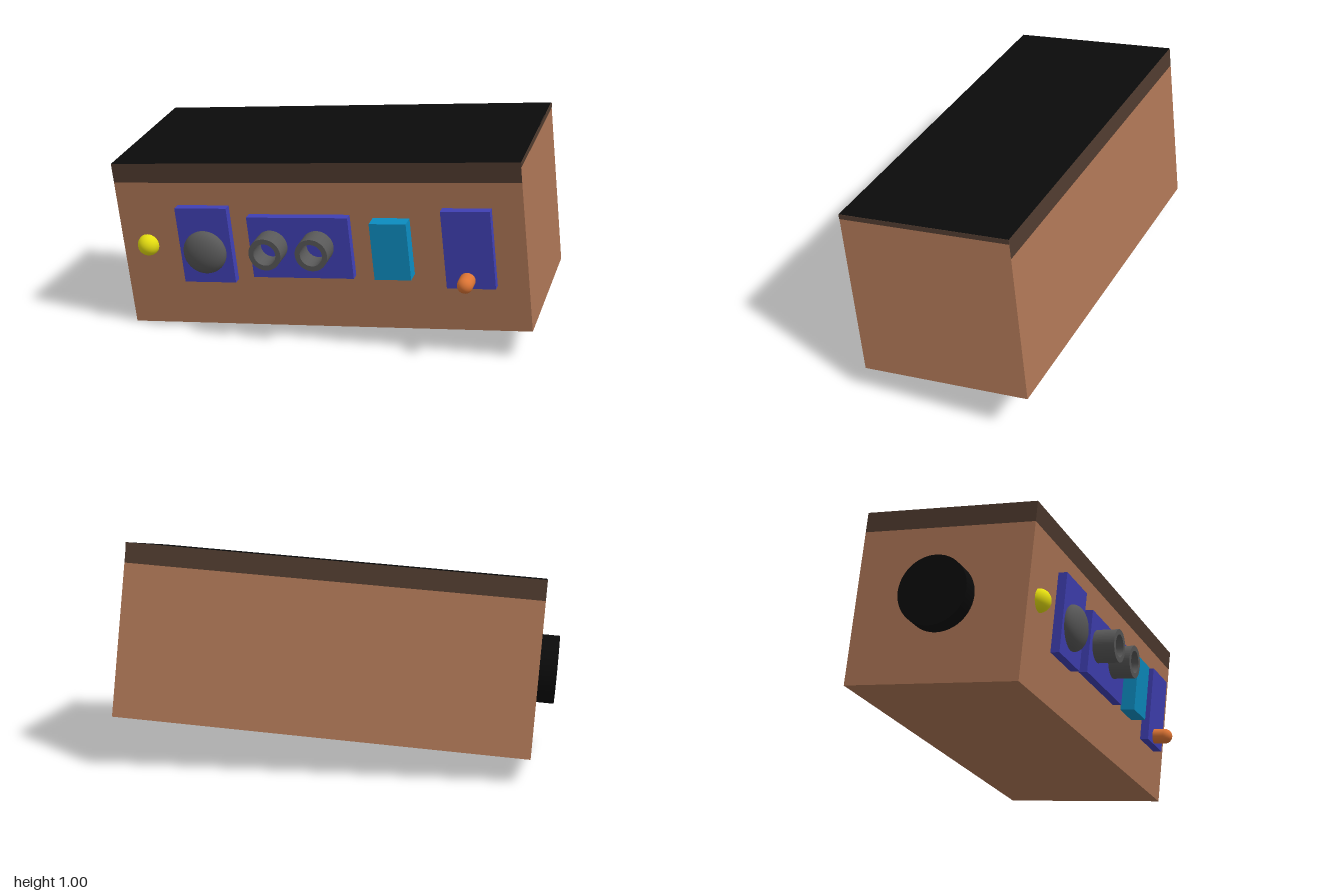
import * as THREE from 'three';

const mat = (name, color, side = THREE.FrontSide) => {
  const m = new THREE.MeshStandardMaterial({ color, side });
  m.name = name;
  return m;
};

export function createModel() {
  const brown = mat('brown', 0xac7555);
  const darkBrown = mat('dark brown', 0x4e3a2e);
  const black = mat('black', 0x0b0b0b);
  const blue = mat('blue', 0x4040b4);
  const teal = mat('teal', 0x0c8cc0);
  const grey = mat('dark grey', 0x585858);
  const yellow = mat('yellow', 0xe6df10);
  const orange = mat('orange', 0xdc7434);

  const model = new THREE.Group();
  model.name = 'controlBox';
  // the whole box sits tilted and turned
  model.position.set(0, 0.503, 0);
  model.rotation.set(0.155, 0.479, 0);

  const add = (name, geometry, material, x, y, z) => {
    const mesh = new THREE.Mesh(geometry, material);
    mesh.name = name;
    mesh.position.set(x, y, z);
    model.add(mesh);
    return mesh;
  };

  const W = 1.848, H = 0.774, D = 0.777, band = 0.09;
  const front = D / 2, plateT = 0.04, plateZ = front + plateT;

  // body and lid; the lid is black on top with dark sides
  add('body', new THREE.BoxGeometry(W, H - band, D), brown, 0, -band / 2, 0);
  add('lid', new THREE.BoxGeometry(W, band, D),
    [brown, darkBrown, black, darkBrown, darkBrown, darkBrown], 0, (H - band) / 2, 0);
  add('lidEdge', new THREE.BoxGeometry(0.003, 0.022, D), darkBrown, W / 2, H / 2 - 0.011, 0);

  // raised panels on the front: name, material, x, y, width, height, thickness
  for (const [name, m, x, y, w, h, t] of [
    ['domePanel', blue, -0.512, 0.013, 0.243, 0.355, plateT],
    ['socketPanel', blue, -0.07, 0.007, 0.462, 0.285, plateT],
    ['tealBlock', teal, 0.345, 0.005, 0.163, 0.26, 0.068],
    ['switchPanel', blue, 0.68, 0.005, 0.214, 0.355, plateT],
  ]) add(name, new THREE.BoxGeometry(w, h, t), m, x, y, front + t / 2);

  // yellow lamp and flattened grey dome
  add('yellowLamp', new THREE.SphereGeometry(0.05, 32, 20), yellow, -0.803, -0.002, front);
  add('dome', new THREE.SphereGeometry(0.1, 40, 24), grey, -0.515, -0.016, plateZ + 0.006)
    .scale.z = 0.55;

  // two hollow sockets
  const ring = new THREE.Shape().absarc(0, 0, 0.073, 0, Math.PI * 2);
  ring.holes.push(new THREE.Path().absarc(0, 0, 0.05, 0, Math.PI * 2, true));
  const socket = new THREE.ExtrudeGeometry(ring, { depth: 0.1, bevelEnabled: false, curveSegments: 32 });
  for (const x of [-0.199, 0.013]) add('socket', socket, grey, x, 0.016, plateZ);

  // orange toggle
  const toggle = new THREE.CapsuleGeometry(0.035, 0.06, 8, 24).rotateX(Math.PI / 2);
  add('toggle', toggle, orange, 0.667, -0.132, 0.451);

  // round black knob on the end
  const knob = new THREE.CylinderGeometry(0.154, 0.154, 0.08, 48).rotateZ(Math.PI / 2);
  add('sideKnob', knob, black, -W / 2 - 0.04, -0.015, 0);

  const root = new THREE.Group();
  root.name = 'model';
  root.add(model);
  return root;
}
